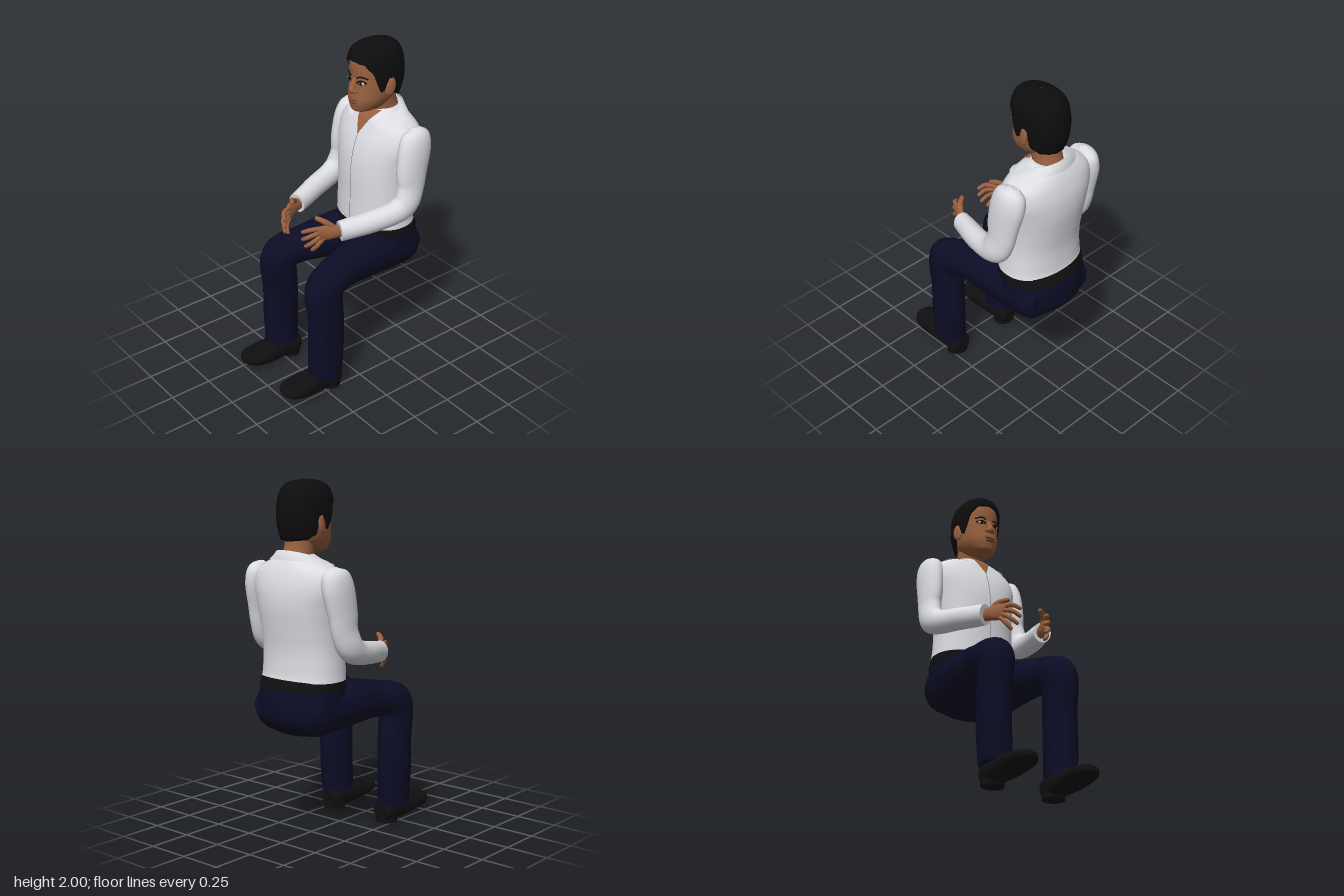
import * as THREE from 'three';

const mat = (name, color, side = THREE.FrontSide) =>
  Object.assign(new THREE.MeshStandardMaterial({ color, side }), { name });
const V3 = (x, y, z) => new THREE.Vector3(x, y, z);
const spline = pts => new THREE.CatmullRomCurve3(pts, false, 'catmullrom', 0.5);
const spow = (v, p) => Math.sign(v) * Math.abs(v) ** p;

// Skins a list of point rows; closed rows wrap around and may get flat caps
function skin(rows, closed = true, caps = true) {
  const pos = [], idx = [], n = rows[0].length;
  rows.forEach(r => r.forEach(p => pos.push(p.x, p.y, p.z)));
  const cols = closed ? n : n - 1;
  for (let i = 0; i < rows.length - 1; i++)
    for (let j = 0; j < cols; j++) {
      const k = (j + 1) % n, a = i * n + j, b = i * n + k;
      idx.push(a, b, b + n, a, b + n, a + n);
    }
  if (closed && caps) [rows[0], rows[rows.length - 1]].forEach((r, end) => {
    const base = pos.length / 3, c = V3(0, 0, 0);
    r.forEach(p => { pos.push(p.x, p.y, p.z); c.addScaledVector(p, 1 / n); });
    pos.push(c.x, c.y, c.z);
    for (let j = 0; j < n; j++) {
      const k = (j + 1) % n;
      end ? idx.push(base + j, base + k, base + n) : idx.push(base + k, base + j, base + n);
    }
  });
  const g = new THREE.BufferGeometry();
  g.setAttribute('position', new THREE.Float32BufferAttribute(pos, 3));
  g.setIndex(idx);
  g.computeVertexNormals();
  return g;
}

// Limb: stations of [x, y, z, half width, half depth], mirrored by side
function limb(st, side = 1, seg = 24, exp = 2, sub = 5) {
  const path = spline(st.map(s => V3(s[0] * side, s[1], s[2])));
  const size = spline(st.map(s => V3(s[3], s[4], 0)));
  const rows = [], m = (st.length - 1) * sub;
  for (let i = 0; i <= m; i++) {
    const c = path.getPoint(i / m), t = path.getTangent(i / m), r = size.getPoint(i / m);
    const u = V3(1, 0, 0).addScaledVector(t, -t.x).normalize(), v = t.clone().cross(u);
    rows.push(Array.from({ length: seg }, (_, j) => {
      const a = j / seg * Math.PI * 2;
      return c.clone().addScaledVector(u, Math.max(r.x, 0.0005) * spow(Math.cos(a), 2 / exp))
        .addScaledVector(v, Math.max(r.y, 0.0005) * spow(Math.sin(a), 2 / exp));
    }));
  }
  return skin(rows);
}

// Upright body: levels of [y, half width, front z, back z], listed from the top down
function body(levels, exp = 2.2) {
  const A = spline(levels.map(l => V3(l[1], l[0], l[2]))), B = spline(levels.map(l => V3(l[3], l[0], 0)));
  const find = y => {
    let lo = 0, hi = 1;
    for (let i = 0; i < 24; i++) { const m = (lo + hi) / 2; A.getPoint(m).y > y ? lo = m : hi = m; }
    return lo;
  };
  const at = (s, a, off = 0) => {
    const p = A.getPoint(s), zb = B.getPoint(s).x, w = Math.max(p.x, 0.001) + off, d = (p.z - zb) / 2 + off;
    return V3(w * spow(Math.sin(a), 2 / exp), p.y, (p.z + zb) / 2 + d * spow(Math.cos(a), 2 / exp));
  };
  return {
    point: (y, a, off) => at(find(y), a, off),
    frontZ(x, y) {
      const s = find(y), p = A.getPoint(s), zb = B.getPoint(s).x;
      return (p.z + zb) / 2 + (p.z - zb) / 2 * Math.max(0, 1 - Math.abs(x / p.x) ** exp) ** (1 / exp);
    },
    geometry(seg = 48) {
      const m = (levels.length - 1) * 5;
      return skin(Array.from({ length: m + 1 }, (_, i) =>
        Array.from({ length: seg }, (_, j) => at(i / m, -j / seg * Math.PI * 2))));
    }
  };
}

export function createModel() {
  const root = new THREE.Group();
  root.name = 'seatedPerson';
  const M = {
    shirt: mat('shirtWhite', 0xdcdde2, THREE.DoubleSide), skin: mat('skin', 0x98603f, THREE.DoubleSide),
    hair: mat('hairBlack', 0x0d0d0e, THREE.DoubleSide), trousers: mat('trouserNavy', 0x0c0c26),
    leather: mat('leatherBlack', 0x0f0f0f), lips: mat('lips', 0x7d4836),
    eye: mat('eyeWhite', 0xc9c0b8), seam: mat('seamGrey', 0x77797f, THREE.DoubleSide)
  };
  const add = (name, geo, material) => {
    const m = new THREE.Mesh(geo, material);
    m.name = name;
    root.add(m);
    return m;
  };
  const ball = (name, material, p, r) => {
    const m = add(name, new THREE.SphereGeometry(1, 20, 14), material);
    m.position.set(...p);
    m.scale.set(...r);
    return m;
  };

  // Torso, belt and seat
  const shirt = body([[1.6, 0.095, -0.275, -0.44], [1.575, 0.13, -0.24, -0.455], [1.55, 0.2, -0.215, -0.47],
    [1.5, 0.27, -0.19, -0.492], [1.42, 0.285, -0.155, -0.512], [1.32, 0.265, -0.13, -0.515],
    [1.2, 0.25, -0.12, -0.5], [1.08, 0.245, -0.12, -0.485], [0.96, 0.25, -0.118, -0.487], [0.915, 0.254, -0.118, -0.494]]);
  add('shirt', shirt.geometry(), M.shirt);
  add('belt', body([[0.925, 0.25, -0.122, -0.492], [0.9, 0.253, -0.118, -0.502], [0.865, 0.257, -0.117, -0.516]]).geometry(), M.leather);
  add('trouserSeat', body([[0.88, 0.25, -0.12, -0.508], [0.8, 0.255, -0.125, -0.523], [0.7, 0.245, -0.15, -0.52],
    [0.64, 0.2, -0.2, -0.475], [0.605, 0.12, -0.25, -0.43], [0.597, 0.002, -0.33, -0.334]]).geometry(), M.trousers);

  // Thin strips that follow the shirt front: open neckline and button seam
  const frontStrip = (y0, y1, w0, w1, off) => skin(Array.from({ length: 25 }, (_, i) => {
    const t = i / 24, y = y0 + (y1 - y0) * t, w = w0 + (w1 - w0) * t;
    return [-1, -0.5, 0, 0.5, 1].map(k => V3(k * w, y, shirt.frontZ(k * w, y) + off));
  }).map(r => r.reverse()), false);
  add('openNeckline', frontStrip(1.595, 1.46, 0.07, 0.001, 0.006), M.skin);
  add('buttonSeam', frontStrip(1.46, 0.92, 0.002, 0.002, 0.003), M.seam);

  // Folded collar, open at the front
  const collar = [0, 1, 2].map(row => Array.from({ length: 49 }, (_, j) => {
    const a = 0.42 + (Math.PI * 2 - 0.84) * j / 48, lift = Math.sin(a / 2);
    if (row === 2) return shirt.point(1.518 + 0.055 * lift, a, 0.012);
    const r = row ? 0.122 : 0.1;
    return V3(r * Math.sin(a), (row ? 1.56 : 1.55) + 0.066 * lift * lift, -0.352 + (r - 0.018) * Math.cos(a));
  }));
  add('collar', skin(collar, false), M.shirt);

  // Neck and head
  add('neck', limb([[0, 1.48, -0.37, 0.09, 0.085], [0, 1.56, -0.36, 0.083, 0.083], [0, 1.64, -0.335, 0.08, 0.085],
    [0, 1.74, -0.32, 0.085, 0.09]]), M.skin);
  const head = body([[1.985, 0.002, -0.28, -0.284], [1.97, 0.06, -0.19, -0.37], [1.93, 0.1, -0.148, -0.42],
    [1.87, 0.117, -0.136, -0.44], [1.8, 0.12, -0.138, -0.44], [1.73, 0.115, -0.132, -0.42], [1.68, 0.105, -0.125, -0.4],
    [1.64, 0.085, -0.13, -0.36], [1.61, 0.055, -0.142, -0.3], [1.597, 0.002, -0.2, -0.204]]);
  add('head', head.geometry(), M.skin);

  // Short hair: a shell from the crown down to a hairline that varies around the head
  const hair = body([[2.0, 0.002, -0.29, -0.294], [1.99, 0.06, -0.2, -0.375], [1.96, 0.102, -0.145, -0.425],
    [1.9, 0.129, -0.122, -0.45], [1.82, 0.132, -0.122, -0.46], [1.75, 0.127, -0.13, -0.455], [1.64, 0.11, -0.15, -0.42]]);
  const line = [[0, 1.91], [0.6, 1.9], [0.95, 1.85], [1.12, 1.77], [1.25, 1.73], [1.37, 1.74], [1.48, 1.81],
    [1.65, 1.81], [1.78, 1.71], [2.2, 1.68], [3.2, 1.67]];
  const hairline = a => {
    const i = line.findIndex(p => p[0] > a), [a0, y0] = line[i - 1], [a1, y1] = line[i];
    return y0 + (y1 - y0) * (a - a0) / (a1 - a0);
  };
  const hairRows = Array.from({ length: 23 }, (_, i) => Array.from({ length: 96 }, (_, j) => {
    const a = -j / 96 * Math.PI * 2, fold = Math.PI - Math.abs(Math.PI + a), t = Math.min(i, 21) / 21;
    const y = 2 - (2 - hairline(fold)) * t ** 1.6;
    const tuft = 0.003 * t * Math.sin(j * Math.PI * 2 / 96 * 17 + i * 1.9) * Math.sin(i * 1.3);
    return hair.point(y, a, i === 22 ? -0.02 : tuft);
  }));
  add('hair', skin(hairRows, true, false), M.hair);

  // Face
  add('nose', limb([[0, 1.815, -0.148, 0.008, 0.006], [0, 1.785, -0.137, 0.013, 0.012], [0, 1.75, -0.127, 0.02, 0.019],
    [0, 1.732, -0.126, 0.024, 0.018], [0, 1.722, -0.132, 0.012, 0.008]], 1, 16), M.skin);
  ball('upperLip', M.lips, [0, 1.684, -0.129], [0.036, 0.009, 0.014]);
  ball('lowerLip', M.lips, [0, 1.668, -0.131], [0.031, 0.01, 0.015]);
  ball('chin', M.skin, [0, 1.628, -0.157], [0.036, 0.024, 0.022]);

  for (const side of [1, -1]) {
    const label = side > 0 ? 'left' : 'right';
    const part = (name, st, material, seg, exp) => add(label + name, limb(st, side, seg, exp), material);
    const facePoint = (x, y, off) => V3(x * side, y, head.frontZ(x, y) + off);
    const stroke = (name, pts, r) =>
      add(label + name, new THREE.TubeGeometry(spline(pts.map(p => facePoint(p[0], p[1], 0.002))), 14, r, 6), M.hair);

    // Eyes, lashes, brows, nostrils, ears
    ball(label + 'Eye', M.eye, facePoint(0.05, 1.788, -0.003).toArray(), [0.023, 0.01, 0.008]);
    ball(label + 'Iris', M.hair, facePoint(0.049, 1.789, 0.002).toArray(), [0.01, 0.0095, 0.005]);
    stroke('Lashes', [[0.025, 1.785], [0.038, 1.797], [0.056, 1.8], [0.077, 1.79]], 0.0045);
    stroke('LowerLashes', [[0.027, 1.783], [0.05, 1.777], [0.073, 1.786]], 0.002);
    stroke('Brow', [[0.022, 1.812], [0.05, 1.824], [0.083, 1.815]], 0.0045);
    ball(label + 'Nostril', M.skin, [0.02 * side, 1.734, -0.133], [0.012, 0.011, 0.014]);
    const ear = ball(label + 'Ear', M.skin, [0.126 * side, 1.757, -0.293], [0.013, 0.054, 0.031]);
    ear.rotation.set(-0.2, side * -0.25, 0);

    // Sleeve from shoulder round the elbow to the cuff
    part('Sleeve', [[0.262, 1.54, -0.37, 0.02, 0.03], [0.272, 1.505, -0.365, 0.058, 0.085], [0.284, 1.43, -0.345, 0.066, 0.108],
      [0.294, 1.3, -0.32, 0.06, 0.103], [0.3, 1.2, -0.31, 0.056, 0.09], [0.306, 1.115, -0.275, 0.06, 0.084],
      [0.295, 1.07, -0.2, 0.061, 0.07], [0.26, 1.045, -0.06, 0.06, 0.065], [0.225, 1.03, 0.04, 0.056, 0.063],
      [0.2, 1.02, 0.115, 0.052, 0.061]], M.shirt);

    // Hand with the palm turned inward and the thumb on top
    part('Palm', [[0.2, 1.02, 0.09, 0.028, 0.036], [0.186, 1.02, 0.135, 0.027, 0.04], [0.166, 1.02, 0.18, 0.021, 0.049],
      [0.148, 1.015, 0.215, 0.015, 0.044], [0.143, 1.012, 0.225, 0.005, 0.03]], M.skin, 18);
    const fingers = {
      Thumb: [[0.185, 1.04, 0.135], [0.157, 1.08, 0.18], [0.112, 1.098, 0.212]],
      IndexFinger: [[0.15, 1.048, 0.205], [0.122, 1.043, 0.265], [0.085, 1.022, 0.288]],
      MiddleFinger: [[0.15, 1.026, 0.21], [0.122, 1.002, 0.27], [0.085, 0.975, 0.287]],
      RingFinger: [[0.153, 1.002, 0.205], [0.13, 0.962, 0.26], [0.096, 0.932, 0.276]],
      LittleFinger: [[0.158, 0.985, 0.195], [0.142, 0.94, 0.232], [0.115, 0.906, 0.244]]
    };
    for (const [name, [a, b, c]] of Object.entries(fingers)) {
      const tip = c.map((v, i) => v + (c[i] - b[i]) * 0.14), r = name === 'Thumb' ? 0.016 : 0.013;
      part(name, [[...a, r, r], [...b, r, r], [...c, r * 0.8, r * 0.8], [...tip, 0.002, 0.002]], M.skin, 12);
    }

    // Trouser leg: thigh, knee and shin in one sweep
    part('TrouserLeg', [[0.125, 0.76, -0.47, 0.09, 0.08], [0.13, 0.752, -0.4, 0.122, 0.142], [0.138, 0.752, -0.25, 0.127, 0.142],
      [0.155, 0.757, -0.08, 0.124, 0.13], [0.18, 0.75, 0.08, 0.11, 0.108], [0.205, 0.735, 0.18, 0.103, 0.106],
      [0.215, 0.7, 0.235, 0.097, 0.118], [0.22, 0.62, 0.243, 0.092, 0.114], [0.222, 0.5, 0.232, 0.089, 0.11],
      [0.222, 0.3, 0.232, 0.086, 0.112], [0.215, 0.11, 0.236, 0.084, 0.106]], M.trousers);

    // Shoe with a heel block and a raised toe
    part('Shoe', [[0.2, 0.062, 0.132, 0.045, 0.045], [0.2, 0.064, 0.16, 0.064, 0.06], [0.2, 0.07, 0.25, 0.07, 0.06],
      [0.2, 0.075, 0.34, 0.08, 0.058], [0.2, 0.076, 0.42, 0.085, 0.045], [0.2, 0.081, 0.48, 0.076, 0.036],
      [0.2, 0.087, 0.518, 0.046, 0.026], [0.2, 0.09, 0.53, 0.008, 0.008]], M.leather, 28, 2.5);
    const heel = add(label + 'Heel', new THREE.CylinderGeometry(0.066, 0.066, 0.05, 24), M.leather);
    heel.scale.z = 0.9;
    heel.position.set(0.2 * side, 0.025, 0.19);
  }
  return root;
}
